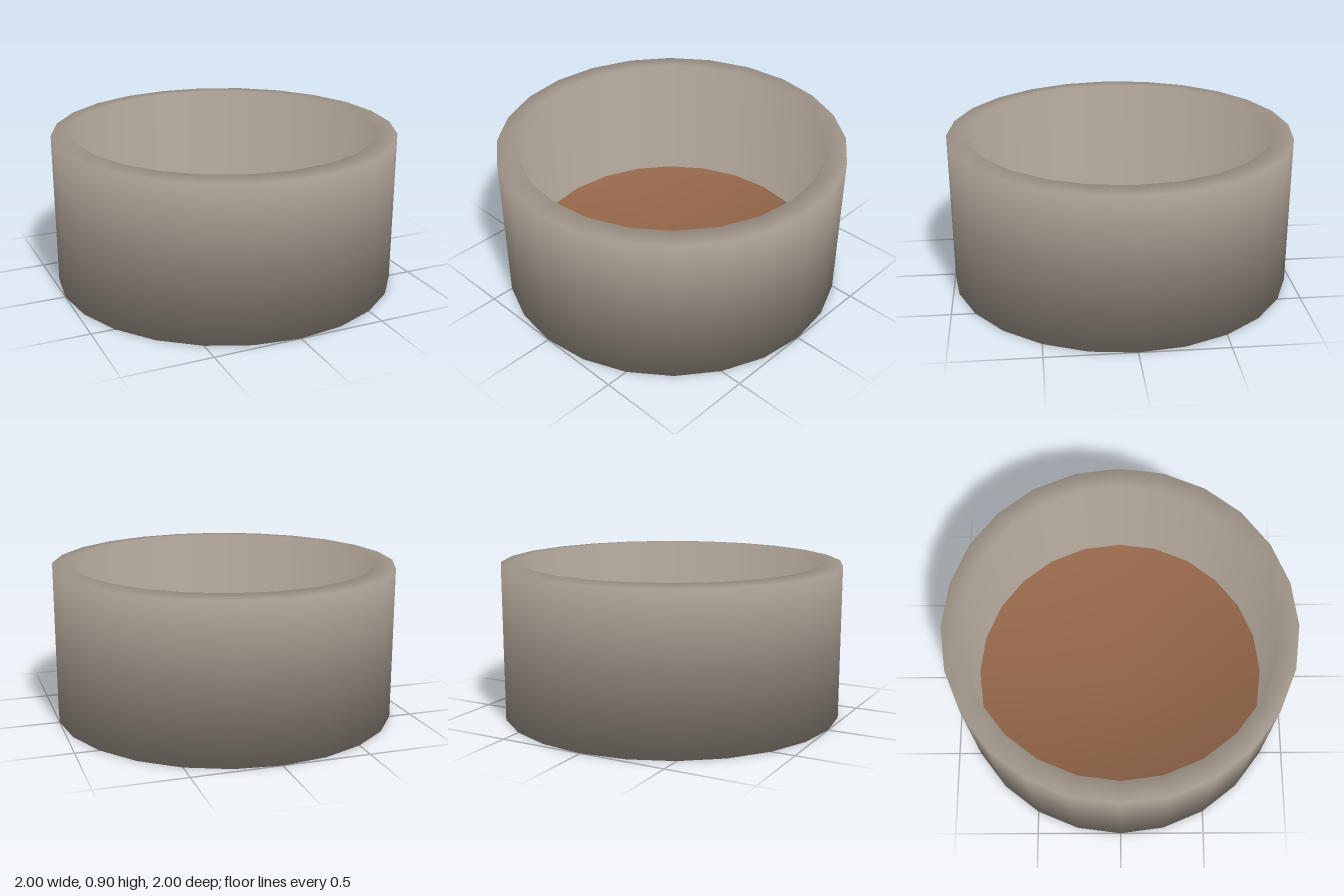
import * as THREE from 'three';

const SIDES = 24;

// Turned surface with a softened normal at each profile point.
// Each profile row is [radius, height, outward normal, upward normal].
function turned(name, profile, material) {
  const points = profile.map(([r, y]) => new THREE.Vector2(r, y));
  const geometry = new THREE.LatheGeometry(points, SIDES);
  const normals = geometry.attributes.normal;
  for (let i = 0; i <= SIDES; i++) {
    const a = (i / SIDES) * Math.PI * 2;
    profile.forEach(([, , out, up], j) => {
      const n = new THREE.Vector3(out * Math.sin(a), up, out * Math.cos(a)).normalize();
      normals.setXYZ(i * profile.length + j, n.x, n.y, n.z);
    });
  }
  const mesh = new THREE.Mesh(geometry, material);
  mesh.name = name;
  return mesh;
}

export function createModel() {
  const stone = new THREE.MeshStandardMaterial({ name: 'warm grey stone', color: 0xa0958a });
  const earth = new THREE.MeshStandardMaterial({ name: 'brown earth', color: 0x916448 });

  const model = new THREE.Group();
  model.name = 'roundPot';

  // Underside, outer wall, slightly sloped rim and inner wall
  model.add(turned('potWall', [
    [0, 0, 0, -1],
    [1, 0, 1, -2],
    [1, 0.89, 1, 2],
    [0.88, 0.9, -1, 2],
    [0.88, 0.12, -1, 2],
  ], stone));

  // Floor inside the pot
  model.add(turned('potFloor', [
    [0.88, 0.12, -1, 2],
    [0, 0.12, 0, 1],
  ], earth));

  return model;
}
